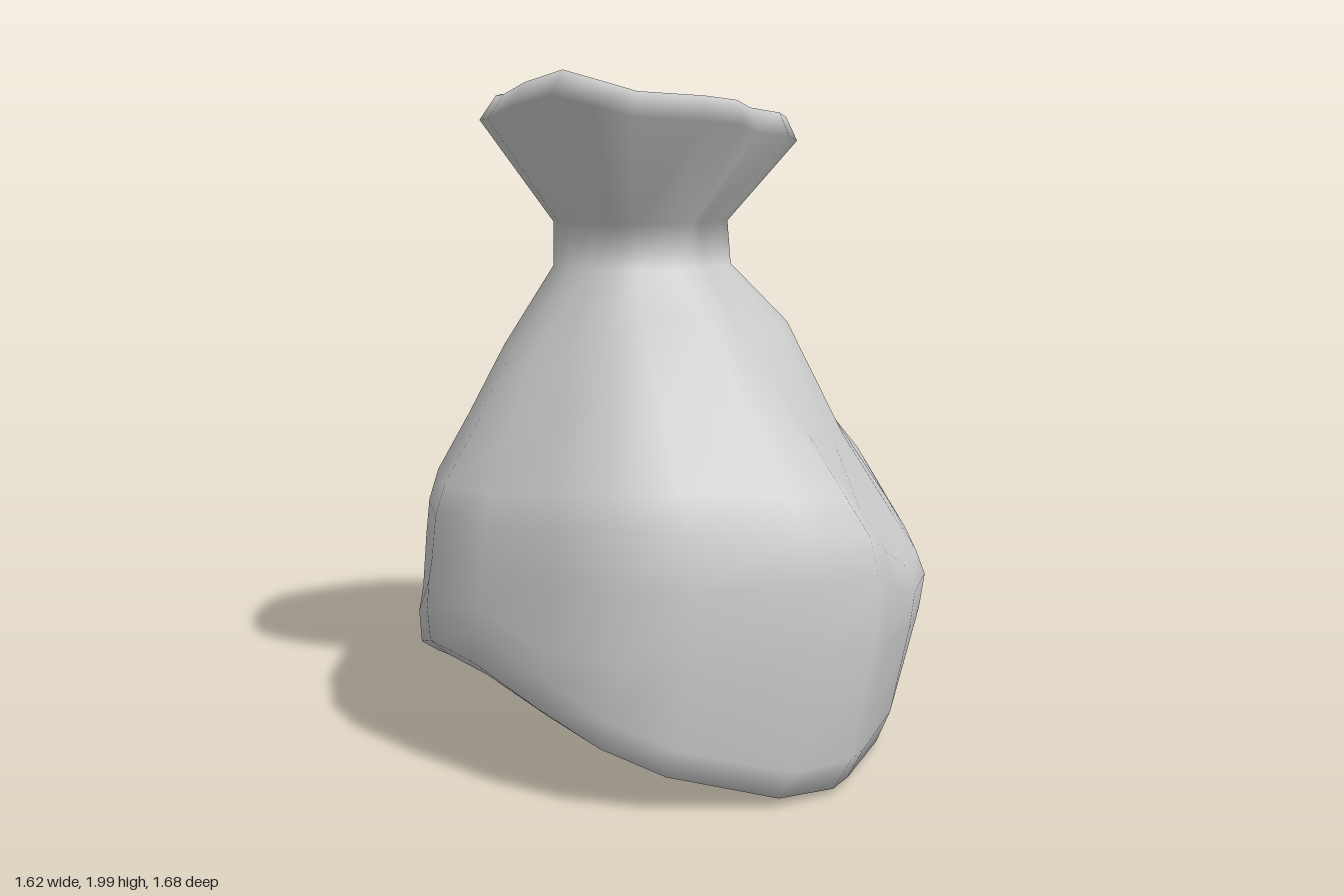
import * as THREE from 'three';

// Widest outline of the sack as [x, z], starting at the left side and going round by the front
const OUTLINE = [
  [0.805, 0], [0.77, 0.2], [0.6, 0.5], [0.48, 0.65], [0.3, 0.74], [0.05, 0.8], [-0.17, 0.835],
  [-0.4, 0.72], [-0.6, 0.56], [-0.7, 0.4], [-0.77, 0.2], [-0.81, 0], [-0.72, -0.25], [-0.59, -0.5],
  [-0.3, -0.69], [-0.06, -0.84], [0.1, -0.76], [0.34, -0.66], [0.46, -0.58], [0.6, -0.38], [0.76, -0.1],
];

// Height of the wavy lip above each outline point
const LIP = [
  1.92, 1.93, 1.94, 1.97, 2.0, 1.97, 1.94, 1.94, 1.95, 1.94, 1.9,
  1.87, 1.87, 1.88, 1.87, 1.86, 1.86, 1.87, 1.88, 1.89, 1.9,
];

// Slanted base: low at the back left, lifted in the middle of the front
const baseHeight = (x, z) => {
  const slope = 0.11 - (x > 0 ? 0.16 : 0.14) * Math.max(x, -0.6) + 0.08 * Math.min(z, 0);
  const lift = 0.35 * Math.max(z, 0) ** 2 * Math.max(0, 1 - (x > 0 ? 1 : 2.5) * x * x);
  return Math.max(0, slope + lift);
};
const base = (offset) => (x, z) => baseHeight(x, z) + offset;
// Belly and shoulders drop by a different amount at each corner
const sag = (y, backLeft, backRight, frontLeft) => (x, z) => {
  const corner = (2 * Math.abs(x * z)) / (x * x + z * z);
  const front = x > 0 ? frontLeft : 0;
  const back = x > 0 ? backLeft : backRight;
  return Math.max(y - corner * (z < 0 ? back : front), baseHeight(x, z) + 0.2);
};
const level = (y) => () => y;
const lip = (offset) => (x, z, i) => LIP[i] + offset;

// Rings: xMin, xMax, zMin, zMax, outline amount (0 = round), height rule
const RINGS = [
  // underside
  [-0.03, -0.03, 0.05, 0.05, 0, base(0)],
  [-0.4, 0.36, -0.32, 0.4, 0.5, base(0)],
  [-0.75, 0.66, -0.6, 0.77, 0.6, base(0)],
  [-0.79, 0.735, -0.65, 0.83, 0.7, base(0.025)],
  // belly
  [-0.81, 0.785, -0.7, 0.84, 0.85, base(0.12)],
  [-0.81, 0.805, -0.81, 0.835, 1, sag(0.44, 0.08, 0.12, 0)],
  [-0.81, 0.8, -0.84, 0.82, 1, sag(0.63, 0.17, 0.24, 0)],
  [-0.805, 0.765, -0.82, 0.8, 1, sag(0.74, 0.21, 0.29, -0.05)],
  [-0.765, 0.69, -0.75, 0.765, 0.9, sag(0.83, 0.2, 0.29, -0.05)],
  // shoulders
  [-0.655, 0.51, -0.56, 0.65, 0.6, sag(1.0, 0.1, 0.2, -0.1)],
  [-0.535, 0.315, -0.37, 0.525, 0.2, sag(1.2, -0.07, 0.04, -0.12)],
  // neck
  [-0.37, 0.135, -0.19, 0.37, 0, level(1.44)],
  [-0.37, 0.115, -0.19, 0.365, 0, level(1.57)],
  // flared mouth and rounded lip
  [-0.57, 0.35, -0.39, 0.59, 0.15, lip(-0.07)],
  [-0.53, 0.32, -0.35, 0.54, 0.15, lip(0)],
  [-0.48, 0.26, -0.31, 0.49, 0.15, lip(-0.04)],
  // inside funnel
  [-0.32, 0.09, -0.13, 0.32, 0, level(1.76)],
  [-0.13, -0.13, 0.09, 0.09, 0, level(1.63)],
];

function ringPoint([x0, x1, z0, z1, amount, height], i) {
  const u0 = OUTLINE[i][0] / 0.8075;
  const v0 = OUTLINE[i][1] / 0.8375;
  const a = Math.atan2(v0, u0);
  const u = THREE.MathUtils.lerp(Math.cos(a), u0, amount);
  const v = THREE.MathUtils.lerp(Math.sin(a), v0, amount);
  const x = (x0 + x1) / 2 + (u * (x1 - x0)) / 2;
  const z = (z0 + z1) / 2 + (v * (z1 - z0)) / 2;
  return [x, height(x, z, i), z];
}

// Skin the rings from the underside, up the outside, over the lip and into the mouth
function loft(rings) {
  const n = OUTLINE.length;
  const positions = [];
  const index = [];
  rings.forEach((ring, r) => {
    for (let i = 0; i < n; i++) {
      positions.push(...ringPoint(ring, i));
      if (r === rings.length - 1) continue;
      const a = r * n + i;
      const b = r * n + ((i + 1) % n);
      index.push(a, a + n, b, b, a + n, b + n);
    }
  });
  const geometry = new THREE.BufferGeometry();
  geometry.setAttribute('position', new THREE.Float32BufferAttribute(positions, 3));
  geometry.setIndex(index);
  geometry.computeVertexNormals();
  return geometry;
}

export function createModel() {
  const group = new THREE.Group();
  group.name = 'tiedSack';
  const sack = new THREE.Mesh(loft(RINGS), new THREE.MeshStandardMaterial({ color: 0xcccccc }));
  sack.name = 'sack';
  group.add(sack);
  return group;
}
